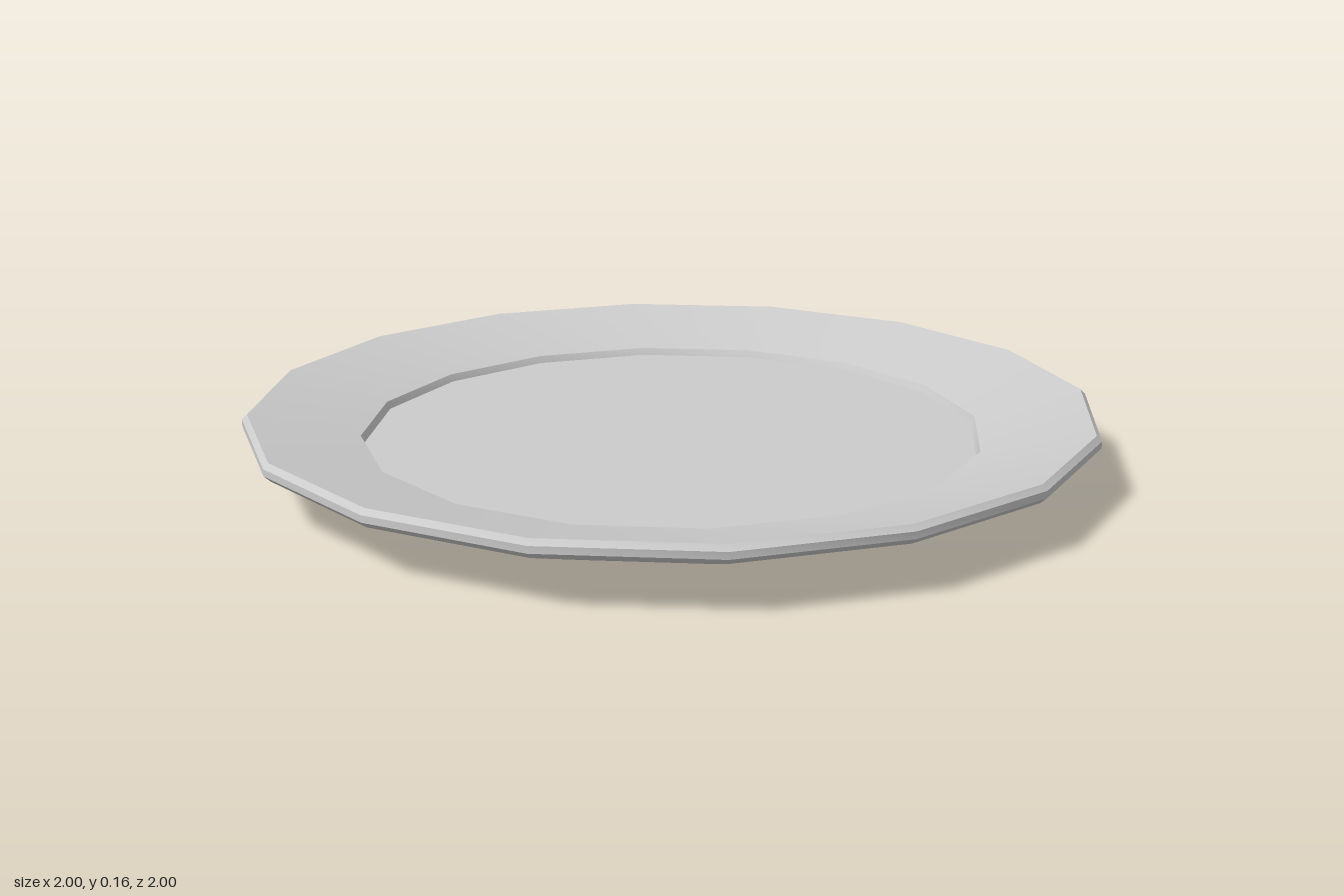
import * as THREE from 'three';
import { toCreasedNormals } from 'three/addons/utils/BufferGeometryUtils.js';

const SIDES = 16;

// Turns an [r, y] profile into a named 16-sided ring; soft bends stay smooth, sharp ones crease.
function turned(name, profile) {
  const points = profile.map(([r, y]) => new THREE.Vector2(r, y));
  const geometry = toCreasedNormals(new THREE.LatheGeometry(points, SIDES), Math.PI / 6);
  const mesh = new THREE.Mesh(geometry, new THREE.MeshStandardMaterial({ color: 0xcccccc }));
  mesh.name = name;
  return mesh;
}

export function createModel() {
  const plate = new THREE.Group();
  plate.name = 'plate';
  plate.add(
    // flat foot and sloping underside
    turned('underside', [[0, 0], [0.68, 0], [0.985, 0.113]]),
    // bevelled outer edge
    turned('outerEdge', [[0.985, 0.113], [1, 0.127], [1, 0.143], [0.988, 0.155]]),
    // shallow sloping rim
    turned('rim', [[0.988, 0.155], [0.73, 0.095]]),
    // small step down to the flat well
    turned('well', [[0.73, 0.095], [0.722, 0.078], [0, 0.078]])
  );
  return plate;
}
